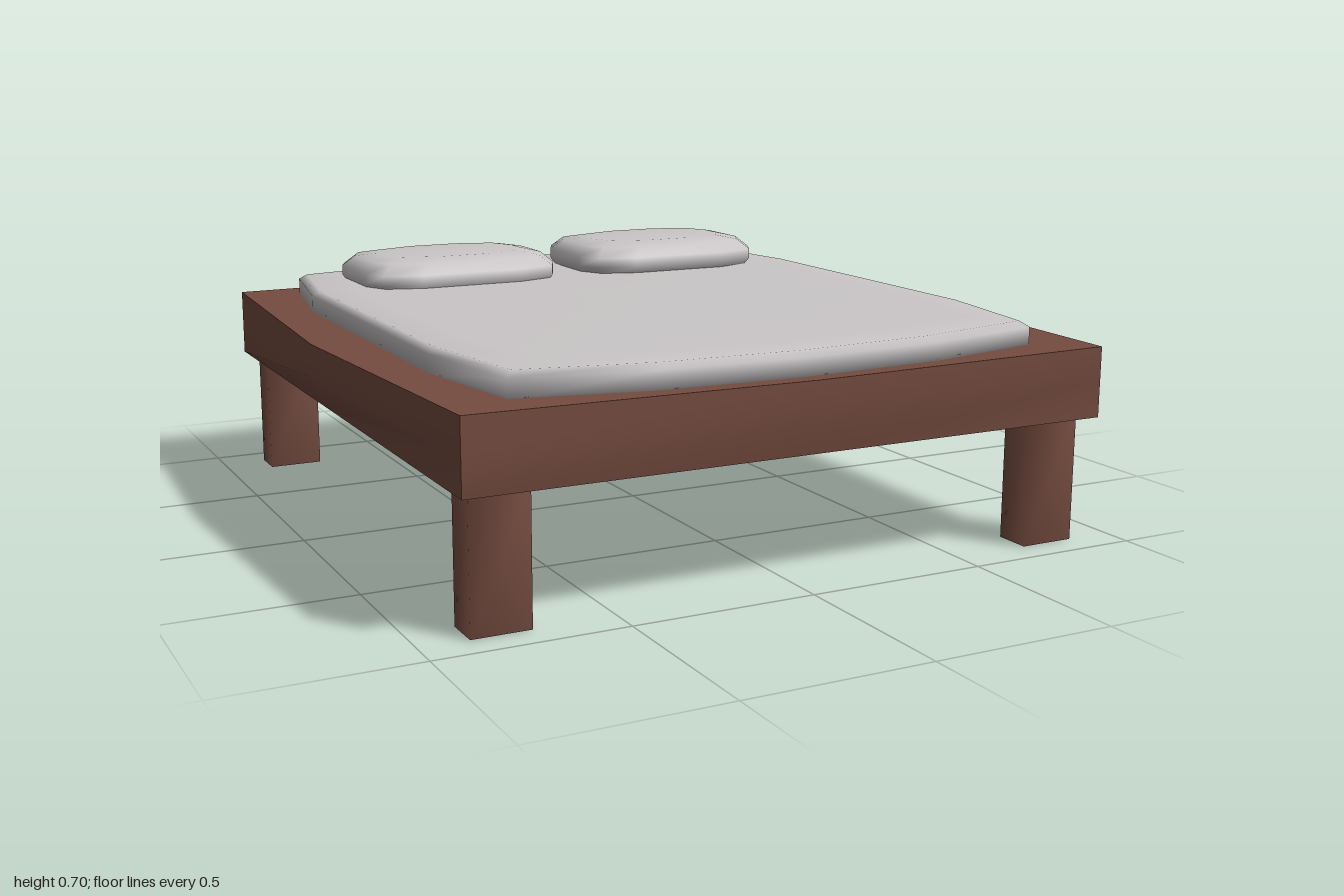
import * as THREE from 'three';
import { toCreasedNormals } from 'three/addons/utils/BufferGeometryUtils.js';

const wood = new THREE.MeshStandardMaterial({ color: 0x754c40 });
wood.name = 'brown wood';
const linen = new THREE.MeshStandardMaterial({ color: 0xcac6c7 });
linen.name = 'pale linen';

// Solid skinned over rings of [x, y, z] (bottom to top), closed by fans at both ends
function loft(rings, bottomY, topY) {
  const n = rings[0].length;
  const pos = rings.flat(2);
  const index = [];
  for (let r = 0; r < rings.length - 1; r++) {
    for (let i = 0; i < n; i++) {
      const a = r * n + i, b = r * n + (i + 1) % n;
      index.push(a, a + n, b, b, a + n, b + n);
    }
  }
  const low = rings.length * n, high = low + 1, last = low - n;
  pos.push(0, bottomY, 0, 0, topY, 0);
  for (let i = 0; i < n; i++) {
    const j = (i + 1) % n;
    index.push(low, i, j, high, last + j, last + i);
  }
  const geo = new THREE.BufferGeometry();
  geo.setAttribute('position', new THREE.Float32BufferAttribute(pos, 3));
  geo.setIndex(index);
  geo.computeVertexNormals();
  return geo;
}

// Mirrors one quarter outline (from +x round to +z) into a full loop
function mirrorOutline(quarter) {
  const back = quarter.filter(([x]) => x > 0).reverse().map(([x, z]) => [-x, z]);
  const half = [...quarter, ...back];
  const rest = half.filter(([, z]) => z > 0).reverse().map(([x, z]) => [x, -z]);
  return [...half, ...rest];
}

// Ring at a height, pulled in by a fixed distance on both axes
const ring = (outline, y, inset = 0) => outline.map(([x, z]) => [
  Math.sign(x) * Math.max(Math.abs(x) - inset, 0), y,
  Math.sign(z) * Math.max(Math.abs(z) - inset, 0)]);

export function createModel() {
  const bed = new THREE.Group();
  bed.name = 'bed';
  const add = (name, geo, material, x = 0, y = 0, z = 0) => {
    const mesh = new THREE.Mesh(geo, material);
    mesh.name = name;
    mesh.position.set(x, y, z);
    bed.add(mesh);
  };

  // Frame: bowed sides above a straight-edged underside
  const bowed = mirrorOutline([[0.96, 0], [0.905, 0.967], [0, 0.998]]);
  const straight = mirrorOutline([[0.905, 0], [0.905, 0.967], [0, 0.967]]);
  add('frame', toCreasedNormals(loft([
    ring(straight, 0.348), ring(bowed, 0.45), ring(bowed, 0.54),
  ], 0.338, 0.54), 1.2), wood);

  // Four legs
  const legOutline = [[0.078, -0.05], [0.078, 0.05], [-0.078, 0.05], [-0.078, -0.05]];
  const legGeo = loft([ring(legOutline, 0), ring(legOutline, 0.36)], 0, 0.36);
  for (const x of [0.795, -0.795]) {
    for (const z of [0.867, -0.86]) {
      add((z > 0 ? 'front' : 'back') + (x > 0 ? 'Left' : 'Right') + 'Leg', legGeo, wood, x, 0, z);
    }
  }

  // Mattress with a softened top edge
  const sheet = mirrorOutline([[0.81, 0], [0.81, 0.5], [0.75, 0.855], [0.4, 0.928], [0, 0.95]]);
  add('mattress', loft([
    ring(sheet, 0.535), ring(sheet, 0.588), ring(sheet, 0.603, 0.02), ring(sheet, 0.608, 0.12),
  ], 0.535, 0.609), linen, 0, 0, 0.003);

  // Two plump pillows
  const cushion = mirrorOutline([[0.306, 0.11], [0.27, 0.185], [0.16, 0.22]]);
  const pillowGeo = loft([
    ring(cushion, 0, 0.015), ring(cushion, 0.025), ring(cushion, 0.055),
    ring(cushion, 0.085, 0.03), ring(cushion, 0.097, 0.085),
  ], 0, 0.099);
  add('leftPillow', pillowGeo, linen, 0.348, 0.602, -0.577);
  add('rightPillow', pillowGeo, linen, -0.352, 0.592, -0.577);

  return bed;
}
